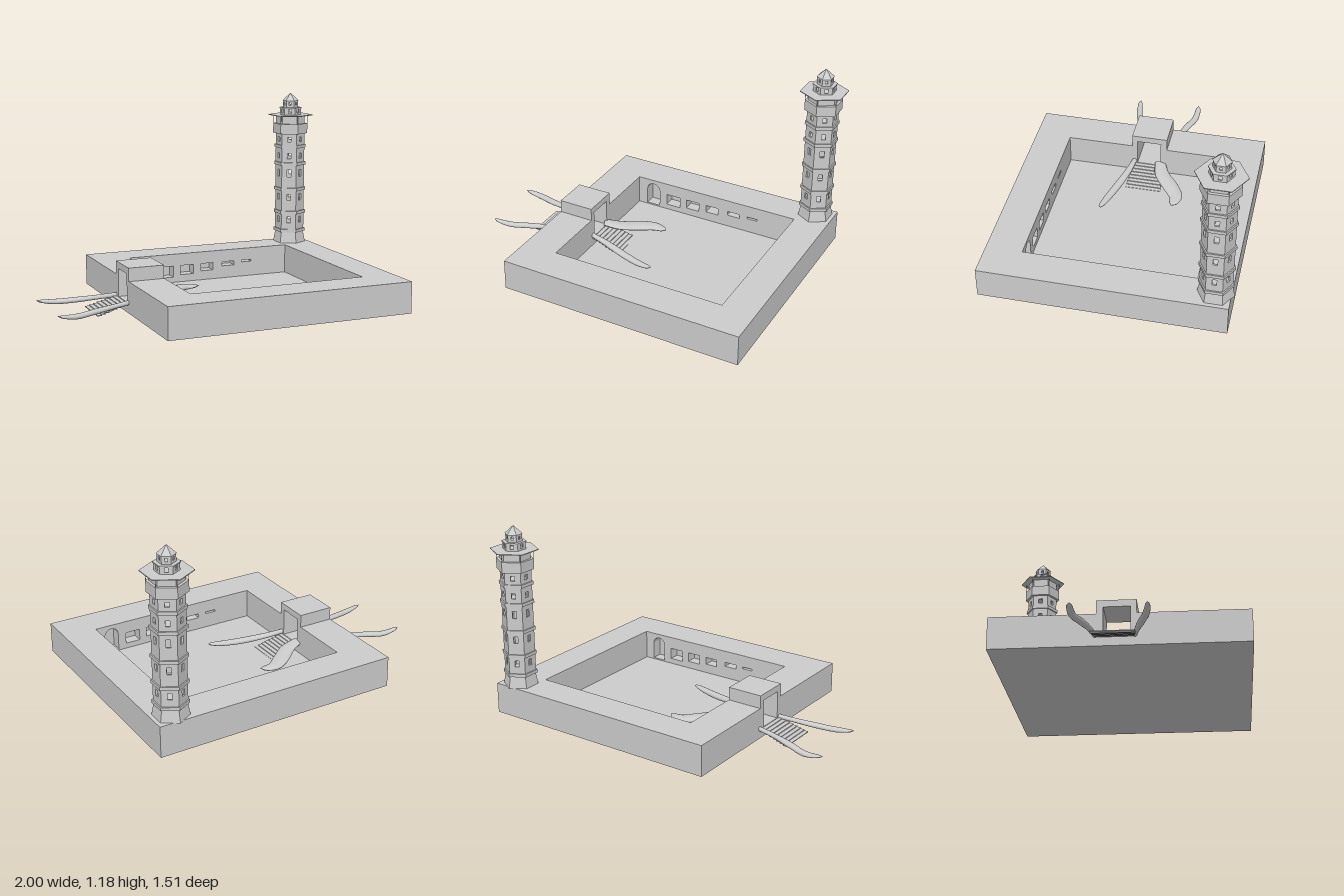
import * as THREE from 'three';

const grey = new THREE.MeshStandardMaterial({ color: 0xcccccc });
const flat = new THREE.MeshStandardMaterial({ color: 0xcccccc, flatShading: true });

function add(parent, name, geometry, material = flat) {
  const mesh = new THREE.Mesh(geometry, material);
  mesh.name = name;
  parent.add(mesh);
  return mesh;
}

// Box given by its lower and upper corners
function box(parent, name, [x0, y0, z0], [x1, y1, z1]) {
  const mesh = add(parent, name, new THREE.BoxGeometry(x1 - x0, y1 - y0, z1 - z0));
  mesh.position.set((x0 + x1) / 2, (y0 + y1) / 2, (z0 + z1) / 2);
  return mesh;
}

function rect(Type, x0, y0, x1, y1) {
  const s = new Type();
  s.moveTo(x0, y0).lineTo(x1, y0).lineTo(x1, y1).lineTo(x0, y1).closePath();
  return s;
}

const extrude = (shape, depth) =>
  new THREE.ExtrudeGeometry(shape, { depth, bevelEnabled: false, curveSegments: 8 });

// Courtyard wall: inner skin with an arched door and shrinking openings, solid behind
function nicheWall(name, thickness) {
  const g = new THREE.Group();
  g.name = name;
  const half = 0.545, depth = 0.07;
  const shape = rect(THREE.Shape, -half, 0, half, 0.19);
  const door = new THREE.Path();
  door.moveTo(-0.485, 0.015).lineTo(-0.395, 0.015).lineTo(-0.395, 0.12);
  door.absarc(-0.44, 0.12, 0.045, 0, Math.PI, false);
  door.closePath();
  shape.holes.push(door);
  [[0.25, 0.095, 0.04], [0.39, 0.09, 0.052], [0.53, 0.085, 0.065], [0.68, 0.085, 0.085], [0.81, 0.07, 0.1]]
    .forEach(([x, w, y]) => shape.holes.push(rect(THREE.Path, x - half - w / 2, y, x - half + w / 2, 0.112)));
  add(g, 'wallSkin', extrude(shape, depth)).position.z = -depth;
  box(g, 'wallCore', [-half, 0, -thickness], [half, 0.19, -depth]);
  return g;
}

// Smooth blade lofted through [x, y, z, halfWidth, halfHeight] sections
function bladeGeometry(sections) {
  const path = new THREE.CatmullRomCurve3(sections.map(s => new THREE.Vector3(s[0], s[1], s[2])));
  const size = new THREE.CatmullRomCurve3(sections.map(s => new THREE.Vector3(s[3], s[4], 0)));
  const steps = 32, sides = 16, pos = [], index = [];
  for (let i = 0; i <= steps; i++) {
    const u = i / steps, c = path.getPoint(u), d = size.getPoint(u), t = path.getTangent(u);
    const len = Math.hypot(t.x, t.z);
    for (let k = 0; k < sides; k++) {
      const a = (k / sides) * Math.PI * 2, w = Math.cos(a) * d.x;
      pos.push(c.x - (t.z / len) * w, c.y + Math.sin(a) * d.y, c.z + (t.x / len) * w);
      if (i < steps) {
        const p = i * sides + k, q = i * sides + (k + 1) % sides;
        index.push(p, p + sides, q, q, p + sides, q + sides);
      }
    }
  }
  const geo = new THREE.BufferGeometry();
  geo.setAttribute('position', new THREE.Float32BufferAttribute(pos, 3));
  geo.setIndex(index);
  geo.computeVertexNormals();
  return geo;
}

// Hollow hexagonal tier with one window in each face
function windowTier(parent, name, y0, y1, r, wy, w, h) {
  const shape = rect(THREE.Shape, -r / 2, y0, r / 2, y1);
  shape.holes.push(rect(THREE.Path, -w / 2, wy - h / 2, w / 2, wy + h / 2));
  const depth = r * 0.12;
  const geo = extrude(shape, depth);
  geo.translate(0, 0, r * Math.cos(Math.PI / 6) - depth);
  for (let i = 0; i < 6; i++) add(parent, name, geo).rotation.y = Math.PI / 6 + i * Math.PI / 3;
}

function hexSolid(parent, name, y0, y1, rBottom, rTop = rBottom) {
  add(parent, name, new THREE.CylinderGeometry(rTop, rBottom, y1 - y0, 6)).position.y = (y0 + y1) / 2;
}

function createTower() {
  const g = new THREE.Group();
  g.name = 'tower';
  hexSolid(g, 'flaredFoot', 0.185, 0.262, 0.107, 0.092);
  // Shaft storeys and the string courses between them
  [[0.28, 0.387, 0.345, 0.04], [0.403, 0.542, 0.497, 0.042], [0.558, 0.712, 0.657, 0.046],
    [0.728, 0.827, 0.773, 0.034], [0.843, 0.922, 0.882, 0.03]]
    .forEach(([a, b, wy, h]) => windowTier(g, 'shaftWall', a, b, 0.095, wy, 0.025, h));
  [0.262, 0.385, 0.54, 0.71, 0.825].forEach(y => hexSolid(g, 'stringCourse', y, y + 0.02, 0.104));
  // Gallery
  hexSolid(g, 'galleryCollar', 0.92, 0.985, 0.113);
  hexSolid(g, 'galleryDrum', 0.985, 1.04, 0.095);
  hexSolid(g, 'galleryCanopy', 1.038, 1.043, 0.145);
  for (let i = 0; i < 6; i++) {
    const a = i * Math.PI / 3;
    const post = add(g, 'galleryPost', new THREE.CylinderGeometry(0.0018, 0.0018, 0.06, 6));
    post.position.set(Math.sin(a) * 0.111, 1.01, Math.cos(a) * 0.111);
  }
  // Lantern
  windowTier(g, 'lowerLanternWall', 1.043, 1.086, 0.069, 1.067, 0.02, 0.026);
  hexSolid(g, 'lanternLedge', 1.084, 1.091, 0.074);
  windowTier(g, 'upperLanternWall', 1.091, 1.138, 0.05, 1.115, 0.014, 0.018);
  hexSolid(g, 'roof', 1.136, 1.185, 0.054, 0);
  g.position.set(0.87, 0, -0.61);
  return g;
}

export function createModel() {
  const model = new THREE.Group();
  model.name = 'walledCourtyard';

  // Floor and walls
  box(model, 'floor', [-0.53, 0, -0.7], [0.985, 0.006, 0.755]);
  box(model, 'leftWall', [0.78, 0, -0.7], [0.985, 0.19, 0.755]);
  const back = nicheWall('backWall', 0.21);
  back.position.set(0.235, 0, -0.49);
  back.rotation.y = 0;
  const front = nicheWall('frontWall', 0.22);
  front.rotation.y = Math.PI;
  front.position.set(0.235, 0, 0.535);
  model.add(back, front);

  // Gate wall with raised gatehouse and passage, drawn in -z/y and extruded along x
  const gate = new THREE.Shape();
  gate.moveTo(-0.755, 0).lineTo(0.7, 0).lineTo(0.7, 0.19).lineTo(0.1, 0.19).lineTo(0.1, 0.27);
  gate.lineTo(-0.125, 0.27).lineTo(-0.125, 0.19).lineTo(-0.755, 0.19).closePath();
  gate.holes.push(rect(THREE.Path, -0.09, 0.06, 0.06, 0.23));
  const gateWall = add(model, 'gateWall', extrude(gate, 0.22));
  gateWall.rotation.y = Math.PI / 2;
  gateWall.position.x = -0.53;

  // Stair treads on both sides of the gate
  for (let i = 0; i < 8; i++) {
    const y = 0.056 - i * 0.0068, spread = i * 0.002;
    const x = 0.024 * i;
    box(model, 'outerTread', [-0.555 - x, y - 0.005, -0.1 - spread], [-0.528 - x, y, 0.115 + spread]);
    box(model, 'innerTread', [-0.312 + x, y - 0.005, -0.08 - spread], [-0.285 + x, y, 0.115 + spread]);
  }

  // Blade-shaped stair rails
  const rails = {
    outerBackRail: [[-1, 0.05, -0.188, 0.001, 0.001], [-0.975, 0.044, -0.19, 0.016, 0.008],
      [-0.88, 0.034, -0.186, 0.021, 0.016], [-0.77, 0.042, -0.152, 0.022, 0.016],
      [-0.65, 0.053, -0.122, 0.016, 0.014], [-0.52, 0.063, -0.102, 0.012, 0.014]],
    outerFrontRail: [[-0.982, 0.05, 0.21, 0.001, 0.001], [-0.96, 0.044, 0.21, 0.013, 0.008],
      [-0.87, 0.034, 0.197, 0.019, 0.016], [-0.75, 0.042, 0.165, 0.02, 0.016],
      [-0.63, 0.053, 0.135, 0.015, 0.014], [-0.52, 0.063, 0.112, 0.012, 0.014]],
    innerBackRail: [[-0.32, 0.075, -0.055, 0.033, 0.014], [-0.22, 0.062, -0.09, 0.046, 0.016],
      [-0.13, 0.05, -0.16, 0.05, 0.018], [-0.05, 0.042, -0.208, 0.042, 0.016],
      [0.015, 0.042, -0.204, 0.025, 0.01], [0.042, 0.045, -0.197, 0.001, 0.001]],
    innerFrontRail: [[-0.32, 0.075, 0.108, 0.014, 0.014], [-0.2, 0.062, 0.132, 0.021, 0.016],
      [-0.06, 0.048, 0.172, 0.024, 0.018], [0.06, 0.045, 0.207, 0.022, 0.016],
      [0.14, 0.052, 0.225, 0.015, 0.009], [0.163, 0.056, 0.225, 0.001, 0.001]],
  };
  for (const [name, sections] of Object.entries(rails)) add(model, name, bladeGeometry(sections), grey);

  model.add(createTower());
  return model;
}
